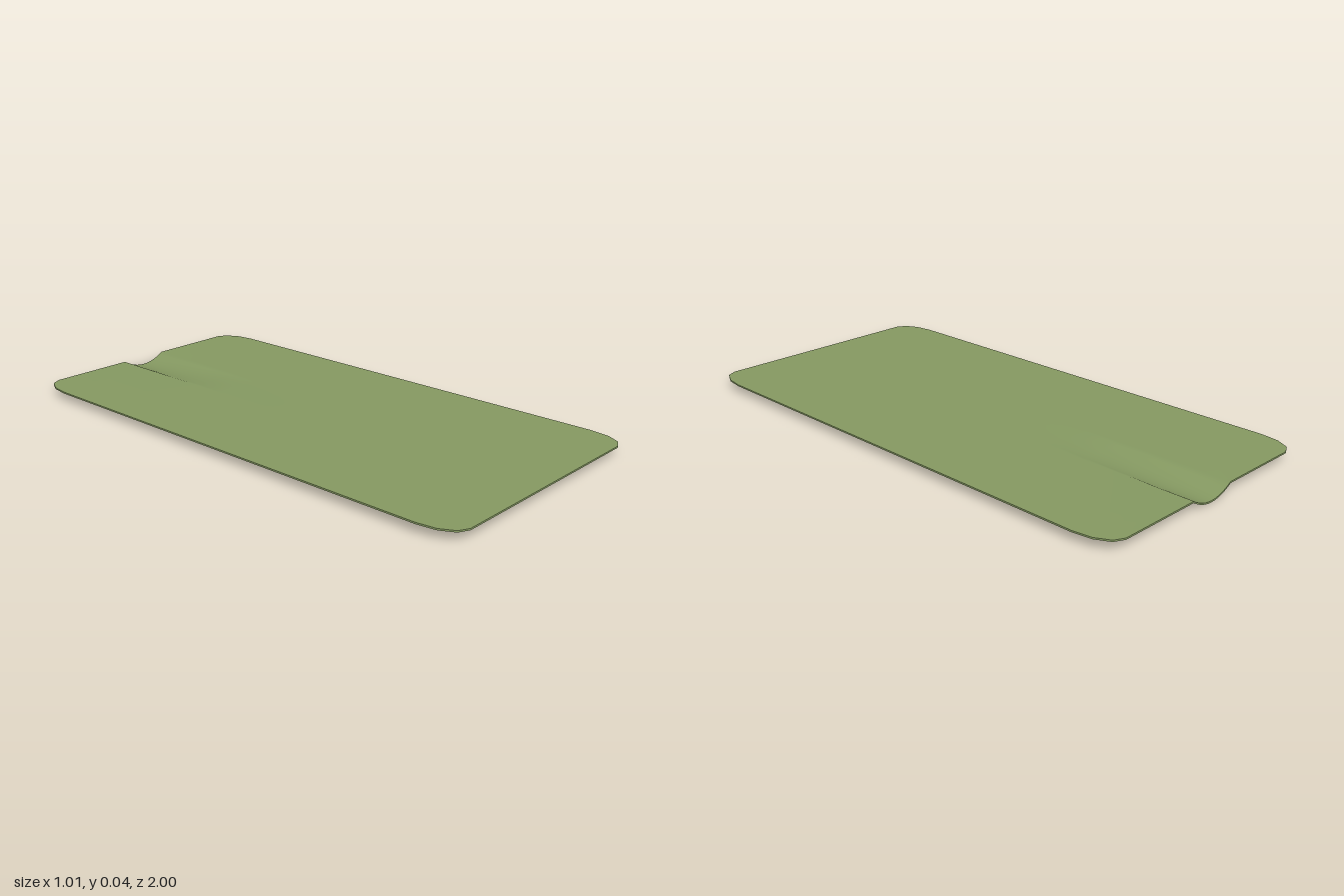
import * as THREE from 'three';

const HALF_W = 0.507, TOP = 0.038, THICK = 0.006;
const CORNER_X = 0.075, CORNER_Z = 0.14;
const GROOVE_W = 0.1, GROOVE_START = -0.4, GROOVE_DEPTH = TOP - THICK;

// Half width of the sheet at z, with elliptical corners
function halfWidth(z) {
  const t = Math.max(0, (Math.abs(z) - (1 - CORNER_Z)) / CORNER_Z);
  return HALF_W - CORNER_X * (1 - Math.sqrt(Math.max(0, 1 - t * t)));
}

// Spout groove: parabolic across, deepening evenly towards the back edge
function grooveDepth(x, z) {
  const along = Math.max(0, (GROOVE_START - z) / (1 + GROOVE_START));
  const across = Math.max(0, 1 - (x / GROOVE_W) ** 2);
  return GROOVE_DEPTH * along * across;
}

export function createModel() {
  const group = new THREE.Group();
  group.name = 'groovedSheet';

  // Column positions: fine steps over the groove, null for the outer edges
  const cols = [null];
  for (let i = -6; i <= 6; i++) cols.push((i / 6) * GROOVE_W);
  cols.push(null);

  // Row positions: corner steps at both ends, groove steps at the back
  const corner = [90, 60, 30, 0].map(a => 1 - CORNER_Z * (1 - Math.sin(a * Math.PI / 180)));
  const rows = [...corner.map(z => -z), -0.7, -0.55, GROOVE_START, 0, 0.4, ...corner.reverse()];

  // Thin sheet, bent by the rules above
  const nx = cols.length - 1, nz = rows.length - 1;
  const geo = new THREE.BoxGeometry(1, 1, 1, nx, 1, nz);
  const p = geo.attributes.position;
  for (let i = 0; i < p.count; i++) {
    const z = rows[Math.round((p.getZ(i) + 0.5) * nz)];
    const x = cols[Math.round((p.getX(i) + 0.5) * nx)] ?? Math.sign(p.getX(i)) * halfWidth(z);
    const y = (p.getY(i) > 0 ? TOP : TOP - THICK) - grooveDepth(x, z);
    p.setXYZ(i, x, y, z);
  }
  geo.computeVertexNormals();

  const sheet = new THREE.Mesh(geo, new THREE.MeshStandardMaterial({ color: 0x869a62 }));
  sheet.name = 'sheet';
  group.add(sheet);
  return group;
}
